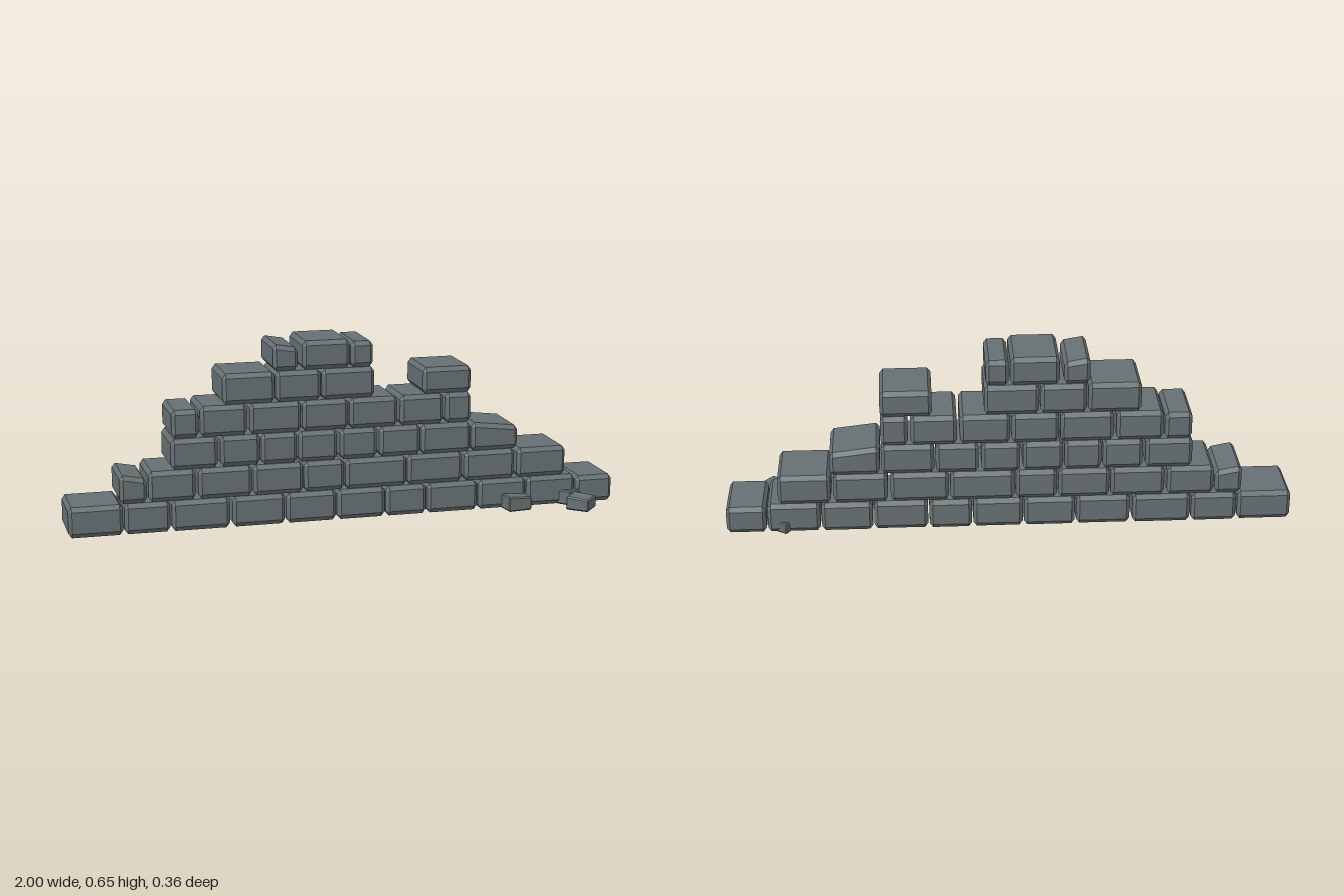
import * as THREE from 'three';
import { ConvexGeometry } from 'three/addons/geometries/ConvexGeometry.js';

const stone = new THREE.MeshStandardMaterial({ color: 0x667072 });
stone.name = 'grey stone';

// Box with chamfered edges; the top may slope from hl (left end) to hr (right end)
function chamferedBlock(w, hl, hr, d, cx = 0.012, cy = 0.016, cz = 0.012) {
  const pts = [];
  for (const sx of [-1, 1]) for (const sy of [0, 1]) for (const sz of [-1, 1]) {
    const add = (ix, iy, iz) => {
      const x = sx * (w / 2 - ix);
      const top = hl + (hr - hl) * (x / w + 0.5);
      pts.push(new THREE.Vector3(x, sy ? top - iy : iy, sz * (d / 2 - iz)));
    };
    add(0, cy, cz);
    add(cx, 0, cz);
    add(cx, cy, 0);
  }
  return new ConvexGeometry(pts);
}

// Seeded generator for slight depth variation
let seed = 7;
function rand() {
  seed = (seed * 16807) % 2147483647;
  return seed / 2147483647;
}

// Each course: base height, then bricks as [x0, x1, top at x0, top at x1]
const courses = [
  [0, [[-1, -0.81], [-0.805, -0.645], [-0.64, -0.435], [-0.425, -0.235], [-0.23, -0.05], [-0.045, 0.13],
    [0.135, 0.285], [0.29, 0.48], [0.485, 0.665], [0.67, 0.855], [0.86, 1, 0.1, 0.1]]],
  [0.11, [[-0.82, -0.725, 0.213, 0.195], [-0.72, -0.555], [-0.545, -0.355], [-0.35, -0.17], [-0.165, -0.02],
    [-0.015, 0.21], [0.215, 0.42], [0.43, 0.62], [0.63, 0.815]]],
  [0.22, [[-0.64, -0.475], [-0.465, -0.325], [-0.32, -0.19], [-0.185, -0.045], [-0.035, 0.1], [0.11, 0.26],
    [0.265, 0.45], [0.455, 0.63, 0.325, 0.305]]],
  [0.33, [[-0.635, -0.54, 0.43, 0.43], [-0.535, -0.37], [-0.36, -0.175], [-0.17, -0.005], [0, 0.175],
    [0.185, 0.345], [0.355, 0.45]]],
  [0.44, [[-0.455, -0.27], [-0.265, -0.105], [-0.1, 0.09], [0.27, 0.45, 0.535, 0.535]]],
  [0.55, [[-0.275, -0.185, 0.645, 0.63], [-0.17, 0, 0.652, 0.652], [0.005, 0.085, 0.642, 0.642]]],
];

// Fallen pieces: x, z, width, height, depth, turn about y
const rubble = [
  [0.62, 0.06, 0.09, 0.055, 0.08, 0.12],
  [0.85, 0.12, 0.085, 0.05, 0.085, -0.72],
  [0.835, 0.03, 0.08, 0.055, 0.07, 0.65],
  [0.805, -0.148, 0.07, 0.042, 0.05, -0.6],
];

export function createModel() {
  const model = new THREE.Group();
  model.name = 'ruinedWall';

  // Stacked brick courses
  courses.forEach(([base, bricks], row) => {
    const course = new THREE.Group();
    course.name = `course${row + 1}`;
    for (const [x0, x1, t0 = base + 0.109, t1 = base + 0.109] of bricks) {
      const depth = 0.21 + rand() * 0.007;
      const brick = new THREE.Mesh(chamferedBlock(x1 - x0, t0 - base, t1 - base, depth), stone);
      brick.name = 'brick';
      brick.position.set((x0 + x1) / 2, base, -0.064 + (rand() - 0.5) * 0.003);
      course.add(brick);
    }
    model.add(course);
  });

  // Broken pieces lying at the foot of the wall
  for (const [x, z, w, h, d, turn] of rubble) {
    const piece = new THREE.Mesh(chamferedBlock(w, h, h - 0.006, d, 0.004, 0.005, 0.004), stone);
    piece.name = 'rubble';
    piece.position.set(x, 0, z);
    piece.rotation.y = turn;
    model.add(piece);
  }
  return model;
}
